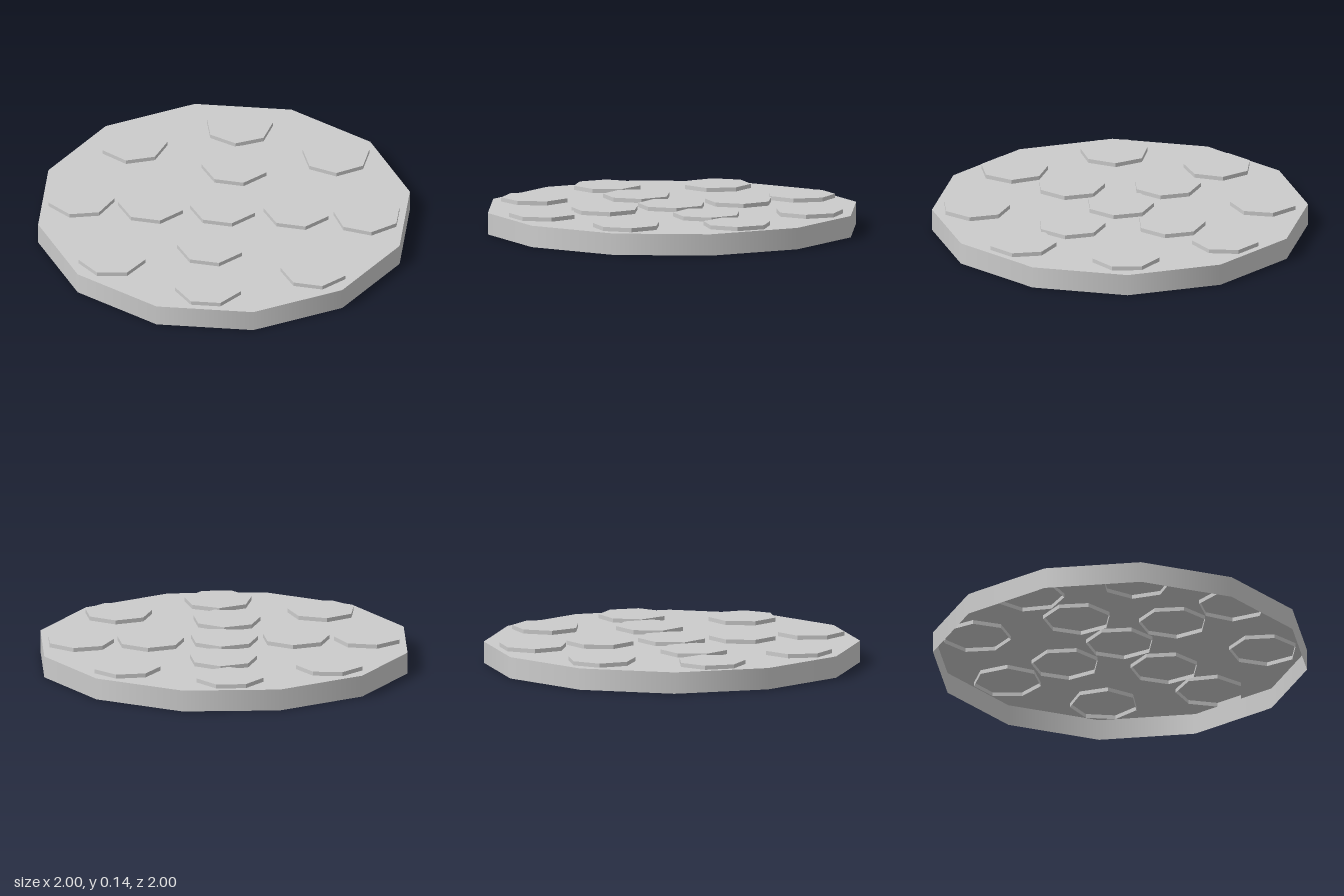
import * as THREE from 'three';

const PLATE_TOP = 0.115;
const STUD_RADIUS = 0.182;
const STUD_HALF = 0.022;

const plain = new THREE.MeshStandardMaterial({ color: 0xcccccc, side: THREE.DoubleSide });
const faceted = new THREE.MeshStandardMaterial({ color: 0xcccccc, side: THREE.DoubleSide, flatShading: true });

// Open-bottomed prism: a side wall closed by a flat lid, with a corner on +z
function cap(name, radius, bottom, top, sides, material) {
  const group = new THREE.Group();
  group.name = name;
  const wall = new THREE.Mesh(
    new THREE.CylinderGeometry(radius, radius, top - bottom, sides, 1, true), material);
  wall.name = name + 'Wall';
  wall.position.y = (top + bottom) / 2;
  const lid = new THREE.Mesh(
    new THREE.CircleGeometry(radius, sides, Math.PI / 2).rotateX(-Math.PI / 2).rotateY(Math.PI), material);
  lid.name = name + 'Lid';
  lid.position.y = top;
  group.add(wall, lid);
  return group;
}

export function createModel() {
  const model = new THREE.Group();
  model.name = 'studdedDisc';

  // Twelve-sided plate, hollow underneath
  model.add(cap('plate', 1, 0, PLATE_TOP, 12, plain));

  // Seven-sided stud set through the lid, one corner turned to the given heading
  const addStud = (name, x, z, heading) => {
    const stud = cap(name, STUD_RADIUS, PLATE_TOP - STUD_HALF, PLATE_TOP + STUD_HALF, 7, faceted);
    stud.position.set(x, 0, z);
    stud.rotation.y = heading;
    model.add(stud);
  };

  // Centre stud and the four around it, all pointing back
  const inner = [[0, 0], [-0.28, -0.26], [0.29, -0.26], [-0.29, 0.25], [0.285, 0.27]];
  inner.forEach(([x, z], i) => addStud(i ? 'innerStud' + i : 'centreStud', x, z, Math.PI));

  // Outer ring of eight, pointing at the centre
  for (let i = 0; i < 8; i++) {
    const a = (i * Math.PI) / 4;
    addStud('outerStud' + (i + 1), 0.766 * Math.sin(a), 0.766 * Math.cos(a), a + Math.PI);
  }

  return model;
}
